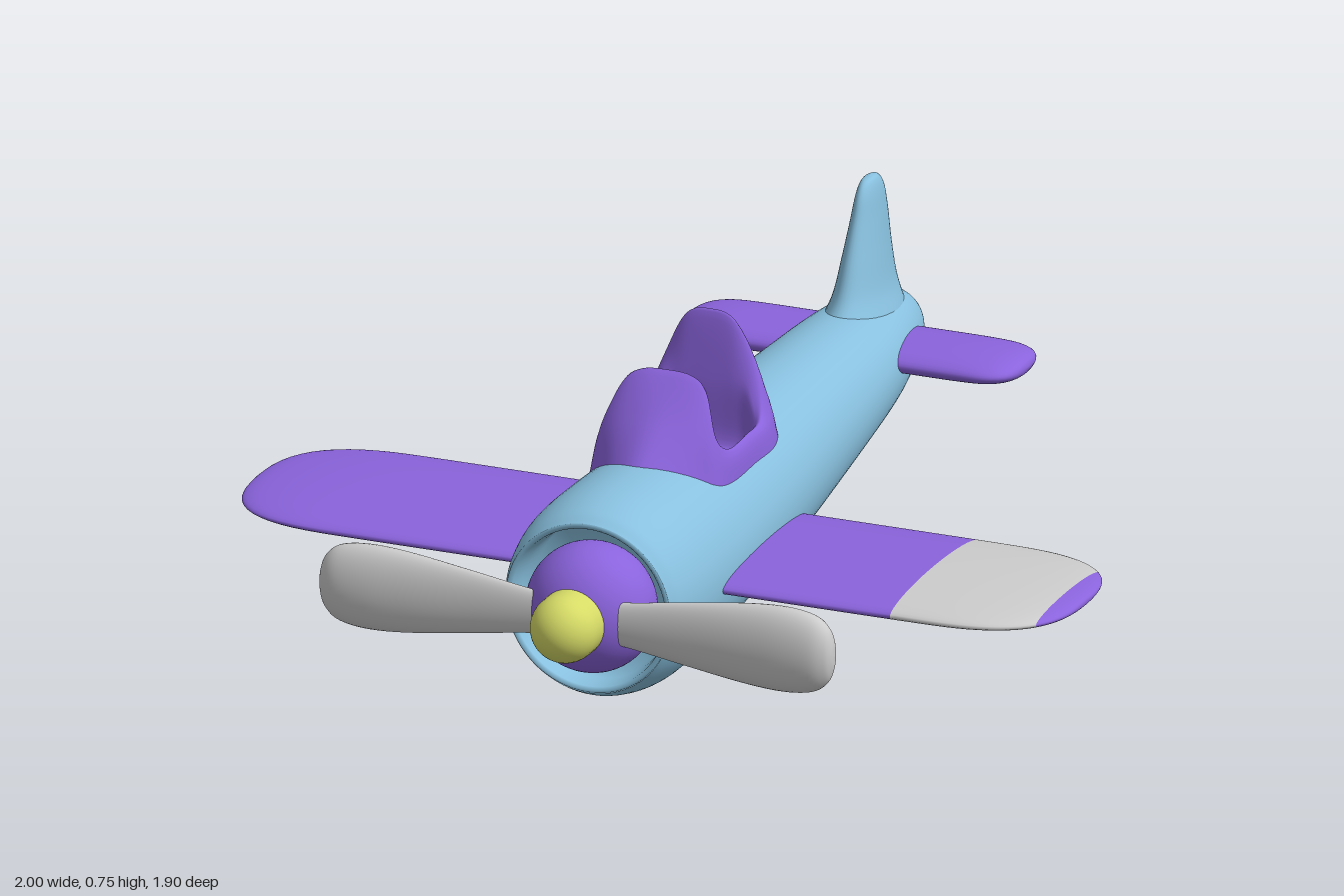
import * as THREE from 'three';

const V = (x, y, z) => new THREE.Vector3(x, y, z);
const material = (color) => new THREE.MeshStandardMaterial({ color, side: THREE.DoubleSide });
const BLUE = material(0x88c0de), PURPLE = material(0x8a63dc);
const YELLOW = material(0xd6db66), GREY = material(0xcccccc);

// Skin closed rings of equal length; each ring runs counterclockwise around the direction of travel
function loft(rings) {
  const n = rings[0].length, index = [];
  for (let i = 0; i < rings.length - 1; i++) {
    for (let j = 0; j < n; j++) {
      const a = i * n + j, b = i * n + (j + 1) % n;
      index.push(a, b, a + n, b, b + n, a + n);
    }
  }
  const g = new THREE.BufferGeometry().setFromPoints(rings.flat());
  g.setIndex(index);
  g.computeVertexNormals();
  return g;
}

const ellipse = (n, place) => Array.from({ length: n }, (_, j) => {
  const a = (j / n) * Math.PI * 2;
  return place(Math.cos(a), Math.sin(a));
});

// Smoothly resample rows of up to three numbers
function resample(rows, count) {
  const c = new THREE.CatmullRomCurve3(rows.map((r) => V(...r)), false, 'catmullrom');
  return c.getPoints(count);
}

function mesh(name, geometry, mat) {
  const m = new THREE.Mesh(geometry, mat);
  m.name = name;
  return m;
}

// Fuselage stations from tail to nose: z, top, bottom, centre x, half width
function fuselage() {
  const s = [
    [-0.95, 0.355, 0.35, 0.043, 0.002], [-0.942, 0.39, 0.317, 0.043, 0.032],
    [-0.91, 0.425, 0.29, 0.043, 0.062], [-0.85, 0.455, 0.262, 0.042, 0.09],
    [-0.75, 0.47, 0.235, 0.04, 0.118], [-0.6, 0.473, 0.2, 0.036, 0.145],
    [-0.3, 0.473, 0.135, 0.03, 0.17], [0, 0.472, 0.08, 0.021, 0.198],
    [0.3, 0.472, 0.03, 0.009, 0.222], [0.5, 0.472, 0.005, 0.002, 0.23],
    [0.62, 0.468, 0, 0, 0.228], [0.7, 0.452, 0.015, 0, 0.214], [0.738, 0.433, 0.034, 0, 0.199],
  ];
  const tall = resample(s.map((r) => [r[0], r[1], r[2]]), 120);
  const wide = resample(s.map((r) => [r[0], r[3], r[4]]), 120);
  const rings = tall.map((t, i) => ellipse(72, (c, k) =>
    V(wide[i].y + wide[i].z * c, (t.y + t.z) / 2 + (t.y - t.z) / 2 * k, t.x)));
  const g = loft(rings), p = g.attributes.position;
  // Sink the deck below the cockpit
  for (let i = 0; i < p.count; i++) {
    const inside = Math.abs(p.getX(i)) < 0.142 && p.getZ(i) > 0.03 && p.getZ(i) < 0.36;
    if (inside && p.getY(i) > 0.36) p.setY(i, 0.36);
  }
  return g;
}

// Open nose duct: radius, z
function cowlInside() {
  const rows = [[0.199, 0.738], [0.193, 0.742], [0.186, 0.735], [0.18, 0.69], [0.175, 0.62], [0.001, 0.61]];
  return loft(rows.map(([r, z]) => ellipse(72, (c, s) => V(r * c, 0.234 + r * s, z))));
}

// Rounded slab wing from x = a to b (as fractions of the half span)
function wing(a, b, { half, chord, thick, corner }) {
  const rings = [], p0 = Math.asin(a), p1 = Math.asin(b), steps = 40;
  for (let i = 0; i <= steps; i++) {
    const x = Math.sin(p0 + (p1 - p0) * i / steps) * half;
    const round = (r) => {
      const t = Math.min(1, Math.max(0, (Math.abs(x) - half + r) / r));
      return Math.pow(1 - Math.pow(t, 2.8), 1 / 2.8);
    };
    const cz = chord * round(corner), cy = thick * round(corner * 1.8);
    rings.push(ellipse(48, (c, s) => V(x, cy * c, cz * s)));
  }
  return loft(rings);
}

// Fin stations from root to tip: y, front z, back z, half width
function fin() {
  const s = [
    [0.36, -0.5, -0.91, 0.1], [0.44, -0.55, -0.878, 0.075], [0.5, -0.6, -0.858, 0.055],
    [0.58, -0.638, -0.842, 0.042], [0.66, -0.674, -0.832, 0.031], [0.715, -0.697, -0.818, 0.023],
    [0.743, -0.722, -0.793, 0.014], [0.75, -0.757, -0.759, 0.001],
  ];
  const side = resample(s.map((r) => [r[0], r[1], r[2]]), 40);
  const wide = resample(s.map((r) => [r[0], r[3], 0]), 40);
  return loft(side.map((t, i) => ellipse(40, (c, k) =>
    V(0.041 + wide[i].y * k, t.x, (t.y + t.z) / 2 + (t.y - t.z) / 2 * c))));
}

// Cockpit surround: half loops from front to back, going from the outer skirt over the rim to the inside
function cockpit() {
  const skirt = [[0, 0.455, 0.475], [0.06, 0.45, 0.45], [0.115, 0.43, 0.41], [0.155, 0.4, 0.37], [0.168, 0.385, 0.3],
    [0.168, 0.385, 0.18], [0.168, 0.385, 0.06], [0.14, 0.41, 0], [0.07, 0.445, -0.02], [0, 0.455, -0.02]];
  const outer = [[0, 0.55, 0.385], [0.06, 0.545, 0.375], [0.11, 0.53, 0.36], [0.142, 0.49, 0.35], [0.157, 0.462, 0.3],
    [0.157, 0.46, 0.18], [0.153, 0.468, 0.07], [0.125, 0.52, 0.025], [0.07, 0.54, 0.015], [0, 0.54, 0.015]];
  const rim = [[0, 0.645, 0.29], [0.06, 0.64, 0.293], [0.1, 0.61, 0.303], [0.135, 0.52, 0.335], [0.147, 0.478, 0.29],
    [0.145, 0.475, 0.18], [0.14, 0.485, 0.09], [0.112, 0.58, 0.047], [0.06, 0.685, 0.045], [0, 0.705, 0.045]];
  const inner = [[0, 0.55, 0.335], [0.055, 0.545, 0.335], [0.09, 0.53, 0.338], [0.122, 0.49, 0.335], [0.135, 0.46, 0.29],
    [0.133, 0.455, 0.18], [0.128, 0.465, 0.1], [0.1, 0.53, 0.072], [0.055, 0.55, 0.068], [0, 0.55, 0.068]];
  const shrink = (k, y) => inner.map(([x, , z]) => [x * k, y, 0.2 + (z - 0.2) * k]);
  const loops = [skirt, outer, rim, inner, shrink(0.95, 0.41), shrink(0.85, 0.39), shrink(0.01, 0.39)].map((h) => {
    const mirrored = h.slice(1, -1).reverse().map(([x, y, z]) => [-x, y, z]);
    const curve = new THREE.CatmullRomCurve3([...h, ...mirrored].map((p) => V(...p)), true, 'catmullrom');
    return Array.from({ length: 90 }, (_, j) => curve.getPoint(j / 90));
  });
  const columns = loops[0].map((_, j) => new THREE.CatmullRomCurve3(loops.map((l) => l[j])).getPoints(42));
  return loft(columns[0].map((_, i) => columns.map((c) => c[i])));
}

// Propeller blade stations: x, half height, half thickness
function blade() {
  const s = [[0, 0.045, 0.018], [0.11, 0.052, 0.018], [0.25, 0.073, 0.025], [0.4, 0.094, 0.038], [0.5, 0.1, 0.045],
    [0.57, 0.09, 0.043], [0.604, 0.065, 0.031], [0.617, 0.033, 0.016], [0.62, 0.001, 0.001]];
  return loft(resample(s, 48).map((t) => ellipse(36, (c, k) => V(t.x, t.y * c, t.z * k))));
}

export function createModel() {
  const model = new THREE.Group();
  model.name = 'airplane';

  model.add(mesh('fuselage', fuselage(), BLUE), mesh('cowlInside', cowlInside(), BLUE));
  model.add(mesh('tailFin', fin(), BLUE), mesh('cockpitSurround', cockpit(), PURPLE));

  // Main wing with a pale band and coloured tip on the left side
  const wings = new THREE.Group();
  wings.name = 'wings';
  wings.position.set(0, 0.232, 0.265);
  const size = { half: 1, chord: 0.255, thick: 0.035, corner: 0.3 };
  wings.add(
    mesh('mainWing', wing(-1, 0.635, size), PURPLE),
    mesh('wingBand', wing(0.635, 0.955, size), GREY),
    mesh('wingTip', wing(0.955, 1, size), PURPLE),
  );
  model.add(wings);

  const tail = mesh('tailplane', wing(-1, 1, { half: 0.41, chord: 0.115, thick: 0.036, corner: 0.11 }), PURPLE);
  tail.position.set(0.032, 0.367, -0.715);
  model.add(tail);

  // Nose hub, spinner and two blades
  const hub = mesh('hub', new THREE.SphereGeometry(0.15, 48, 32), PURPLE);
  hub.scale.z = 0.9;
  hub.position.set(0, 0.232, 0.718);
  const spinner = mesh('spinner', new THREE.CapsuleGeometry(0.079, 0.1, 12, 40), YELLOW);
  spinner.rotation.x = Math.PI / 2;
  spinner.position.set(0, 0.232, 0.817);
  model.add(hub, spinner);
  for (const turn of [0, Math.PI]) {
    const b = mesh('propellerBlade', blade(), GREY);
    b.position.set(0, 0.232, 0.797);
    b.rotation.z = turn;
    model.add(b);
  }
  return model;
}
